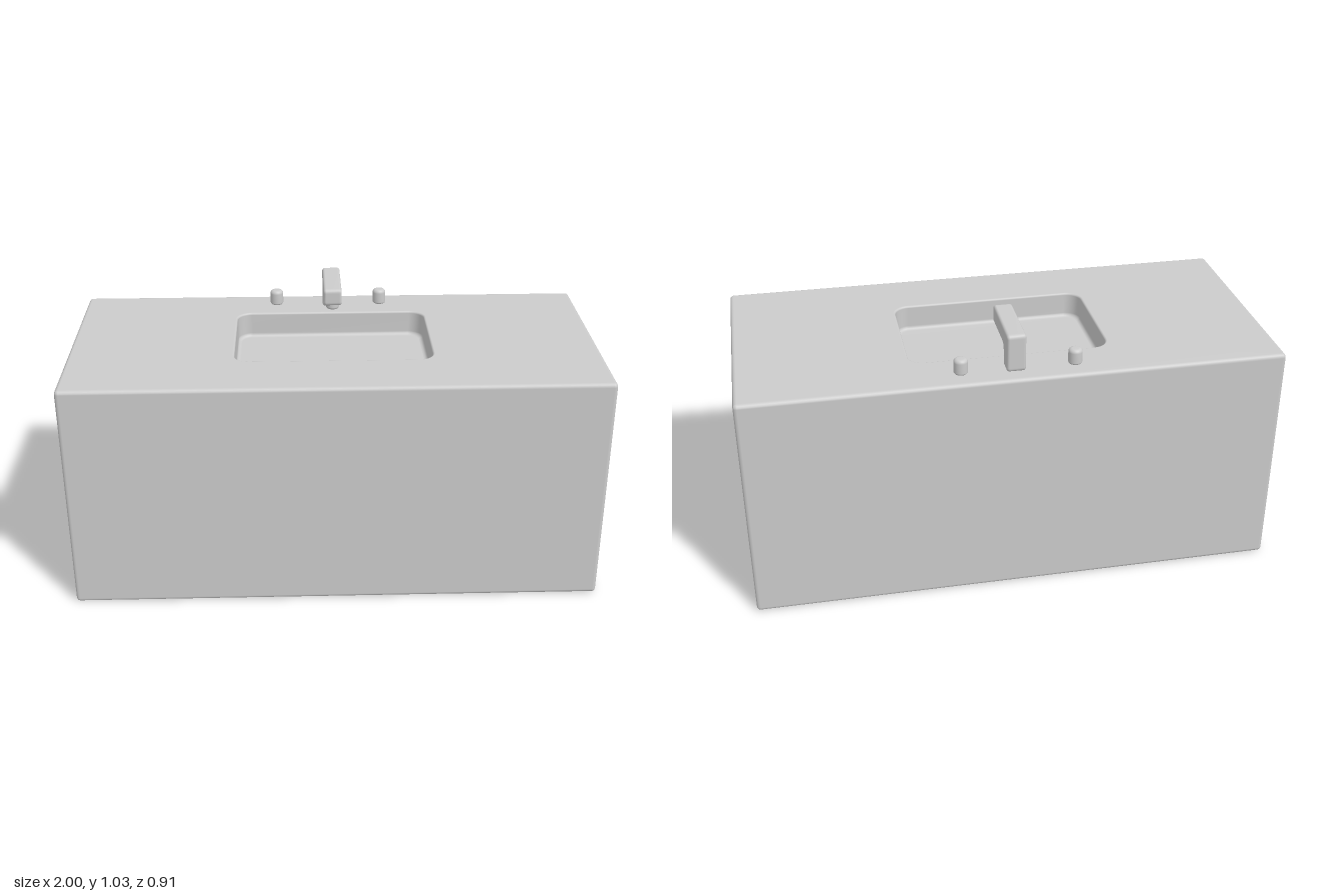
import * as THREE from 'three';
import { mergeVertices } from 'three/addons/utils/BufferGeometryUtils.js';

const material = new THREE.MeshStandardMaterial({ color: 0xcccccc });
const TOP = 0.89;

function part(name, geometry) {
  const mesh = new THREE.Mesh(geometry, material);
  mesh.name = name;
  return mesh;
}

// Horizontal rounded-rectangle ring, 4 corners of equal point count
const CORNER = 8;
function ring({ cx = 0, cz = 0, hw, hd, r }, inset, y) {
  const points = [];
  const radius = Math.max(r - inset, 0.001);
  for (let q = 0; q < 4; q++) {
    const sx = q === 0 || q === 3 ? 1 : -1;
    const sz = q < 2 ? 1 : -1;
    for (let i = 0; i <= CORNER; i++) {
      const a = (q + i / CORNER) * Math.PI / 2;
      points.push([
        cx + sx * (hw - inset - radius) + radius * Math.cos(a), y,
        cz + sz * (hd - inset - radius) + radius * Math.sin(a),
      ]);
    }
  }
  return points;
}

// Skin through the rings, closed by a fan at both ends
function loft(rings) {
  const n = rings[0].length;
  const positions = rings.flat(2);
  const index = [];
  for (let k = 0; k < rings.length - 1; k++) {
    for (let i = 0; i < n; i++) {
      const j = (i + 1) % n;
      const a = k * n + i, b = k * n + j, c = a + n, d = b + n;
      index.push(a, c, b, b, c, d);
    }
  }
  const last = (rings.length - 1) * n;
  for (let i = 1; i < n - 1; i++) {
    index.push(0, i, i + 1);
    index.push(last, last + i + 1, last + i);
  }
  const geometry = new THREE.BufferGeometry();
  geometry.setAttribute('position', new THREE.Float32BufferAttribute(positions, 3));
  geometry.setIndex(index);
  geometry.computeVertexNormals();
  return geometry;
}

// Cabinet block whose top runs over a soft lip into the basin
function cabinetGeometry() {
  const outer = { hw: 1, hd: 0.457, r: 0.015 };
  const basin = { cx: -0.005, cz: -0.025, hw: 0.38, hd: 0.245, r: 0.065 };
  const edge = 0.015, lip = 0.008, fillet = 0.015, floor = TOP - 0.1;
  const steps = [0, 1, 2, 3, 4].map(i => i * Math.PI / 8);
  const rings = [];
  for (const a of steps) rings.push(ring(outer, edge * (1 - Math.sin(a)), edge * (1 - Math.cos(a))));
  for (const a of steps) rings.push(ring(outer, edge * (1 - Math.cos(a)), TOP - edge * (1 - Math.sin(a))));
  for (const a of steps) rings.push(ring(basin, lip * Math.sin(a), TOP - lip * (1 - Math.cos(a))));
  for (const a of steps) {
    rings.push(ring(basin, lip + fillet * (1 - Math.cos(a)), floor + fillet * (1 - Math.sin(a))));
  }
  return loft(rings);
}

// L-shaped spout profile (z, y), extruded across x with rounded edges
function spoutGeometry() {
  const s = new THREE.Shape();
  const back = -0.4, front = -0.13, top = 1.035, under = 0.968, column = -0.327, r = 0.016;
  s.moveTo(back + r, TOP);
  s.lineTo(column - r, TOP);
  s.quadraticCurveTo(column, TOP, column, TOP + r);
  s.lineTo(column, under - 0.025);
  s.quadraticCurveTo(column, under, column + 0.025, under);
  s.lineTo(front - r, under);
  s.quadraticCurveTo(front, under, front, under + r);
  s.lineTo(front, top - r);
  s.quadraticCurveTo(front, top, front - r, top);
  s.lineTo(back + r, top);
  s.quadraticCurveTo(back, top, back, top - r);
  s.lineTo(back, TOP + r);
  s.quadraticCurveTo(back, TOP, back + r, TOP);
  const bevel = 0.01, width = 0.07;
  let geometry = new THREE.ExtrudeGeometry(s, {
    depth: width - 2 * bevel, curveSegments: 6,
    bevelSize: bevel, bevelThickness: bevel, bevelOffset: -bevel, bevelSegments: 4,
  });
  geometry.translate(0, 0, bevel - width / 2 - bevel);
  geometry.translate(0, 0, bevel);
  geometry.rotateY(-Math.PI / 2);
  geometry.deleteAttribute('normal');
  geometry.deleteAttribute('uv');
  geometry = mergeVertices(geometry, 1e-5);
  geometry.computeVertexNormals();
  return geometry;
}

// Upright cylinder with rounded rims
function roundedCylinder(radius, height, bottomR, topR) {
  const profile = [new THREE.Vector2(0, 0)];
  for (let i = 0; i <= 5; i++) {
    const a = i * Math.PI / 10;
    profile.push(new THREE.Vector2(radius - bottomR * (1 - Math.sin(a)), bottomR * (1 - Math.cos(a))));
  }
  for (let i = 0; i <= 5; i++) {
    const a = i * Math.PI / 10;
    profile.push(new THREE.Vector2(radius - topR * (1 - Math.cos(a)), height - topR * (1 - Math.sin(a))));
  }
  profile.push(new THREE.Vector2(0, height));
  return new THREE.LatheGeometry(profile, 32);
}

export function createModel() {
  const group = new THREE.Group();
  group.name = 'washbasinCabinet';
  group.add(part('cabinetWithBasin', cabinetGeometry()));

  // Faucet
  const faucet = new THREE.Group();
  faucet.name = 'faucet';
  faucet.add(part('spout', spoutGeometry()));
  const nozzle = part('nozzle', roundedCylinder(0.026, 0.03, 0.01, 0.002));
  nozzle.position.set(0, 0.948, -0.165);
  faucet.add(nozzle);
  group.add(faucet);

  // Tap handles
  for (const [name, x] of [['rightHandle', -0.222], ['leftHandle', 0.197]]) {
    const handle = part(name, roundedCylinder(0.026, 0.06, 0.008, 0.014));
    handle.position.set(x, TOP, -0.368);
    group.add(handle);
  }
  return group;
}
